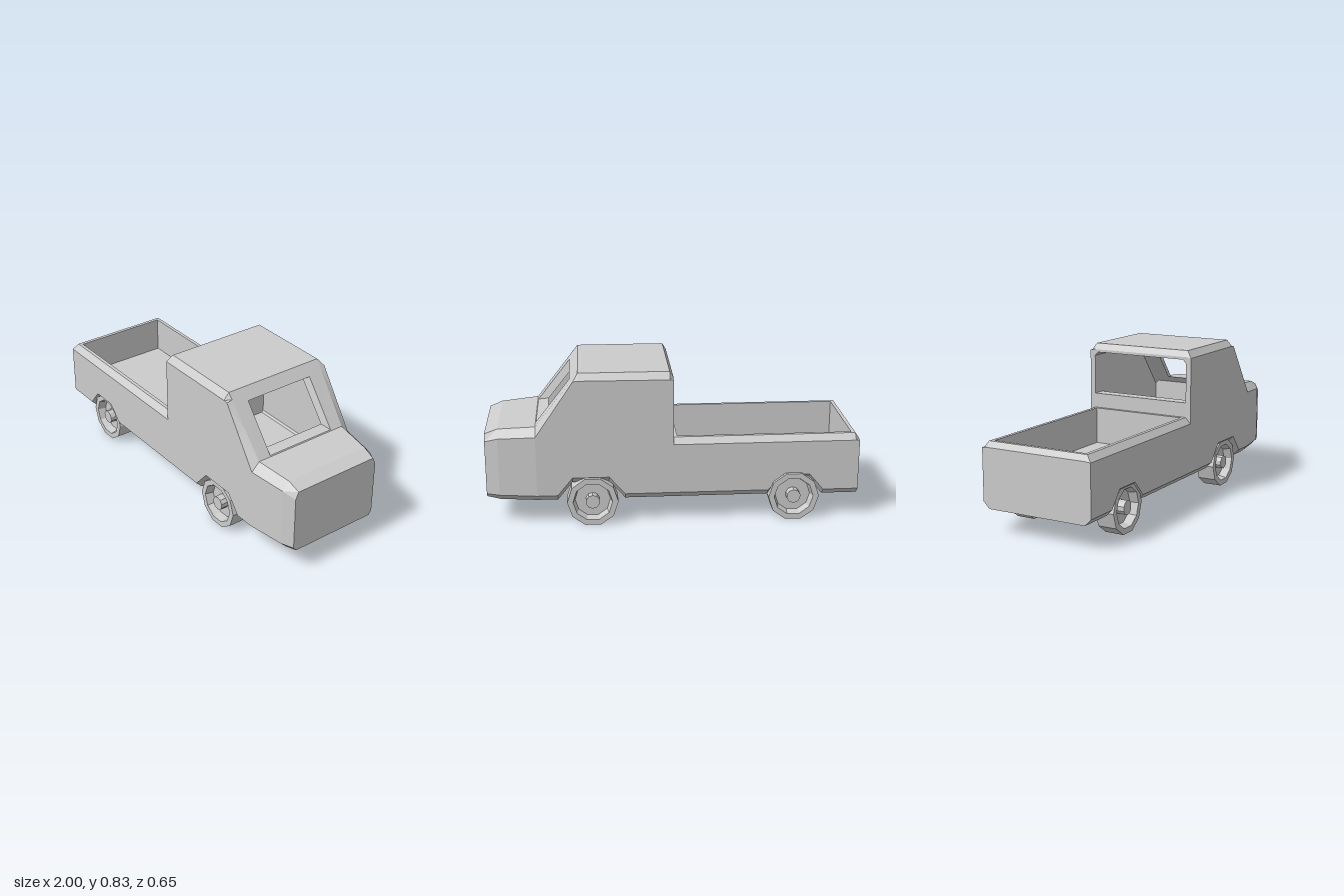
import * as THREE from 'three';

const mat = new THREE.MeshStandardMaterial({ color: 0xcccccc, flatShading: true, side: THREE.DoubleSide });

// linear lookup in a list of [x, value]
function at(profile, x) {
  for (let i = 1; i < profile.length; i++) {
    const [x0, v0] = profile[i - 1], [x1, v1] = profile[i];
    if (x <= x1) return v0 + (v1 - v0) * Math.max(0, (x - x0) / (x1 - x0));
  }
  return profile[profile.length - 1][1];
}

// skin closed rings of [x, y, z]; optional caps and skipped faces
function loft(name, rings, { capStart, capEnd, skip } = {}) {
  const pos = [];
  const tri = (...p) => p.forEach(v => pos.push(...v));
  const n = rings[0].length;
  for (let i = 0; i + 1 < rings.length; i++) {
    for (let j = 0; j < n; j++) {
      if (skip && skip(i, j)) continue;
      const k = (j + 1) % n, A = rings[i], B = rings[i + 1];
      tri(A[j], B[j], B[k]);
      tri(A[j], B[k], A[k]);
    }
  }
  const fan = r => { for (let j = 1; j + 1 < r.length; j++) tri(r[0], r[j], r[j + 1]); };
  if (capStart) fan(rings[0]);
  if (capEnd) fan([...rings[rings.length - 1]].reverse());
  const g = new THREE.BufferGeometry();
  g.setAttribute('position', new THREE.Float32BufferAttribute(pos, 3));
  g.computeVertexNormals();
  const m = new THREE.Mesh(g, mat);
  m.name = name;
  return m;
}

// profiles along the length of the truck
const CH = 0.035; // lower chamfer
const bottom = [[-1, 0.125], [-0.81, 0.125], [-0.735, 0.215], [-0.59, 0.215], [-0.51, 0.13],
  [0.26, 0.13], [0.345, 0.228], [0.54, 0.228], [0.62, 0.13], [0.93, 0.13], [1, 0.145]];
const cabTop = [[0, 0.8], [0.02, 0.833], [0.5, 0.833], [0.73, 0.54], [0.93, 0.525], [1, 0.498]];
const cabSide = [[0, 0.795], [0.5, 0.798], [0.525, 0.795], [0.73, 0.495], [0.93, 0.482], [1, 0.46]];
const halfWidth = [[-1, 0.318], [0.73, 0.318], [0.93, 0.288], [1, 0.262]];
const topInset = [[0, 0.03], [0.5, 0.03], [0.73, 0.045], [0.93, 0.04], [1, 0.018]];
const lowInset = [[-1, CH], [0.93, CH], [1, 0.018]];

// eight-cornered closed section
function section(x, b, lowY, sideY, t, w, wb, wt) {
  return [[-wb, b], [wb, b], [w, lowY], [w, sideY], [wt, t], [-wt, t], [-w, sideY], [-w, lowY]]
    .map(([z, y]) => [x, y, z]);
}
function cabSection(x) {
  const b = at(bottom, x), w = at(halfWidth, x);
  return section(x, b, b + CH * (x > 0.99 ? 0.6 : 1), at(cabSide, x), at(cabTop, x),
    w, w - at(lowInset, x), w - at(topInset, x));
}

// U-shaped cargo bed section, floor at f
function bedSection(x, f) {
  const b = at(bottom, x), t = x < -0.99 ? 0.44 : 0.47, w = 0.318, wi = 0.268;
  return [[-w + CH, b], [w - CH, b], [w, b + CH], [w, 0.437], [w - 0.03, t], [wi, t], [wi, Math.min(f, t)],
    [-wi, Math.min(f, t)], [-wi, t], [-w + 0.03, t], [-w, 0.437], [-w, b + CH]]
    .map(([z, y]) => [x, y, z]);
}

function buildBody() {
  const g = new THREE.Group();
  g.name = 'body';

  // cargo bed with tail wall and front wall
  const FLOOR = 0.27;
  const bed = [[-1, 1], [-0.98, 1], [-0.96, 1], [-0.96, FLOOR], [-0.81, FLOOR], [-0.735, FLOOR],
    [-0.59, FLOOR], [-0.51, FLOOR], [-0.02, FLOOR], [-0.02, 1], [0, 1]];
  g.add(loft('cargoBed', bed.map(([x, f]) => bedSection(x, f)), { capStart: true }));

  // cab and bonnet outer skin, windscreen face left open
  const xs = [0, 0.02, 0.26, 0.345, 0.5, 0.525, 0.54, 0.62, 0.73, 0.93, 1];
  g.add(loft('cabShell', xs.map(cabSection), {
    capEnd: true,
    skip: (i, j) => j === 4 && xs[i] >= 0.5 && xs[i] < 0.73,
  }));

  // cab interior, open at the back
  const inner = [[0, 0.785], [0.485, 0.785], [0.695, 0.52]]
    .map(([x, t]) => section(x, 0.3, 0.31, t - 0.02, t, 0.288, 0.278, 0.27));
  g.add(loft('cabInterior', [...inner].reverse(), { skip: (i, j) => i === 0 && j === 4 }));
  g.add(loft('dashboard', [inner[2], inner[2].map(([x, y]) => [x, 0.41, 0])]));
  g.add(loft('rearOpeningFrame', [inner[0], cabSection(0)]));

  // windscreen frame with its reveal
  const rect = (xt, yt, wt, xb, yb, wb) => [[xt, yt, -wt], [xt, yt, wt], [xb, yb, wb], [xb, yb, -wb]];
  g.add(loft('windscreenFrame', [
    rect(0.485, 0.785, 0.27, 0.695, 0.52, 0.27),
    rect(0.509, 0.755, 0.186, 0.667, 0.555, 0.186),
    rect(0.545, 0.776, 0.2, 0.726, 0.545, 0.2),
    rect(0.5, 0.833, 0.288, 0.73, 0.54, 0.273),
  ]));

  // low wall behind the seats
  const ledge = new THREE.Mesh(new THREE.BoxGeometry(0.07, 0.25, 0.576), mat);
  ledge.name = 'rearLedge';
  ledge.position.set(0.036, 0.425, 0);
  g.add(ledge);

  g.position.z = 0.009;
  return g;
}

// ten-sided wheel with recessed outer face and hub; outer side is +z
function buildWheel(name) {
  const g = new THREE.Group();
  g.name = name;
  const R = 0.137, H = 0.104;
  const profile = [[0, 0], [R, 0], [R, H], [0.106, H], [0.095, H - 0.045], [0, H - 0.045]]
    .map(([r, y]) => new THREE.Vector2(r, y));
  const geo = new THREE.LatheGeometry(profile, 10).rotateY(Math.PI / 2).rotateX(Math.PI / 2);
  const tyre = new THREE.Mesh(geo, mat);
  tyre.name = 'wheelRim';
  const hub = new THREE.Mesh(new THREE.CylinderGeometry(0.038, 0.038, 0.045, 10).rotateX(Math.PI / 2), mat);
  hub.name = 'wheelHub';
  hub.position.z = H - 0.024;
  g.add(tyre, hub);
  return g;
}

export function createModel() {
  const model = new THREE.Group();
  model.name = 'pickupTruck';
  model.add(buildBody());
  for (const [end, x] of [['rear', -0.648], ['front', 0.435]]) {
    for (const side of [1, -1]) {
      const wheel = buildWheel(end + 'Wheel');
      wheel.position.set(x, 0.13, side > 0 ? 0.215 : -0.224);
      if (side < 0) wheel.rotation.y = Math.PI;
      model.add(wheel);
    }
  }
  return model;
}
